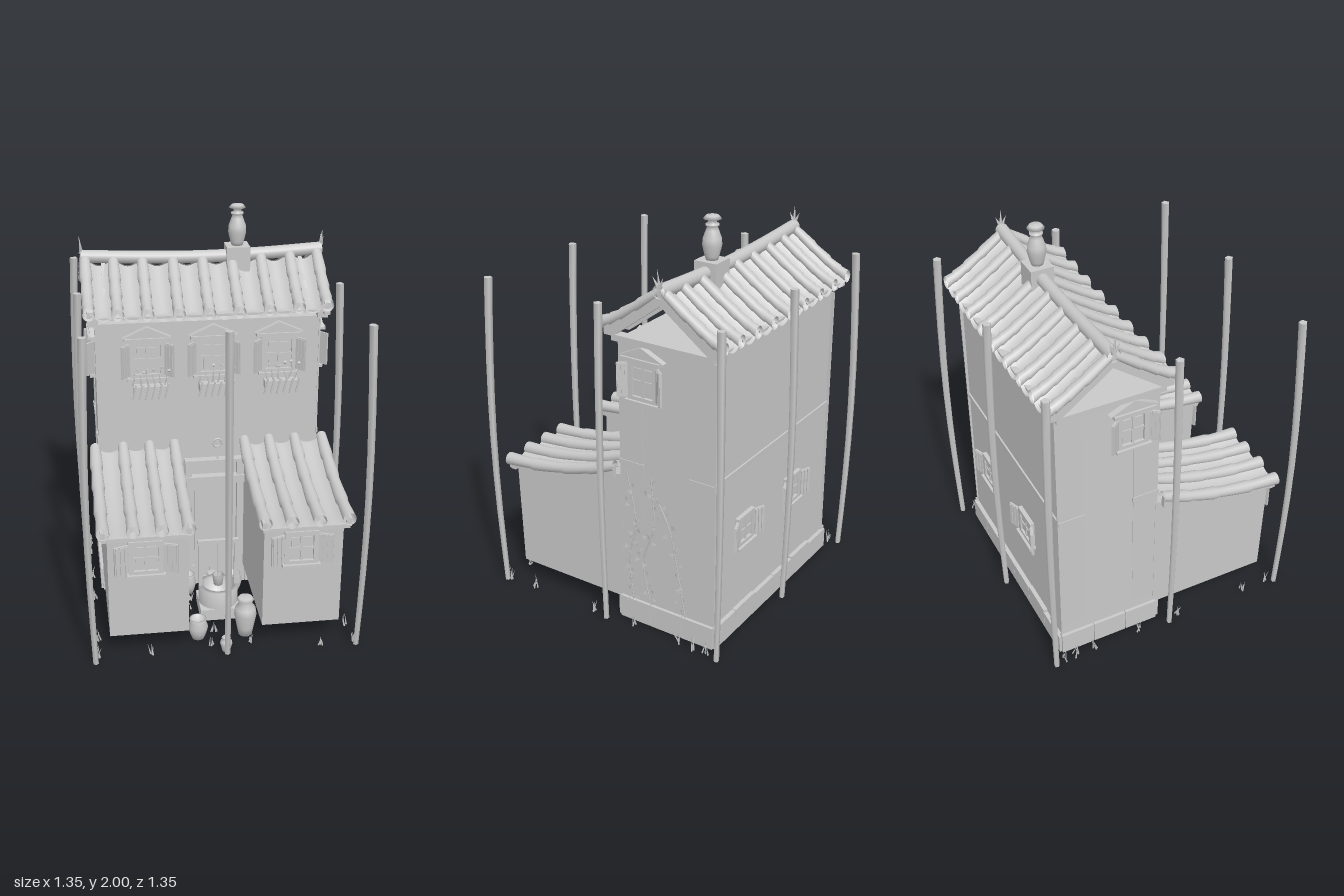
import * as THREE from 'three';
import { ParametricGeometry } from 'three/addons/geometries/ParametricGeometry.js';

const V = (x, y, z) => new THREE.Vector3(x, y, z);
const clay = new THREE.MeshStandardMaterial({ color: 0xc8c8c8, side: THREE.DoubleSide });
clay.name = 'plain grey';

export function createModel() {
  const model = new THREE.Group();
  let seed = 7;
  const rnd = () => (seed = (seed * 16807) % 2147483647) / 2147483647;

  function add(parent, name, geo, x = 0, y = 0, z = 0, rx = 0, ry = 0, rz = 0) {
    const m = new THREE.Mesh(geo, clay);
    m.name = name;
    m.position.set(x, y, z);
    m.rotation.set(rx, ry, rz);
    parent.add(m);
    return m;
  }
  const box = (p, name, w, h, d, x, y, z, rx, ry, rz) =>
    add(p, name, new THREE.BoxGeometry(w, h, d), x, y, z, rx, ry, rz);
  // Prism from a (z, y) side profile, w wide, centred on x
  function sideProfile(p, name, pts, w, x) {
    const shape = new THREE.Shape(pts.map(([z, y]) => new THREE.Vector2(-z, y)));
    const geo = new THREE.ExtrudeGeometry(shape, { depth: w, bevelEnabled: false });
    geo.translate(0, 0, -w / 2).rotateY(Math.PI / 2);
    return add(p, name, geo, x);
  }

  // Main house: body tapering slightly upward
  const bodyGeo = new THREE.BoxGeometry(1.13, 1.48, 0.525);
  const bp = bodyGeo.attributes.position;
  for (let i = 0; i < bp.count; i++)
    if (bp.getY(i) > 0) { bp.setX(i, bp.getX(i) * 0.985); bp.setZ(i, bp.getZ(i) * 0.96); }
  bodyGeo.computeVertexNormals();
  add(model, 'houseBody', bodyGeo, 0, 0.74, -0.307);

  // Stone plinth blocks
  for (let i = 0; i < 6; i++) {
    const x = -0.475 + i * 0.19, h = 0.105 + rnd() * 0.015;
    box(model, 'plinthBlock', 0.187, h, 0.03, x, h / 2, -0.575);
    box(model, 'plinthBlock', 0.187, h, 0.03, x, h / 2, -0.045);
  }
  for (const s of [-1, 1])
    for (let i = 0; i < 3; i++) box(model, 'plinthBlock', 0.03, 0.118, 0.174, s * 0.565, 0.059, -0.135 - i * 0.178);

  // Storey band and corner strips
  box(model, 'storeyBand', 1.14, 0.025, 0.012, 0, 0.86, -0.566);
  for (const s of [-1, 1]) {
    box(model, 'storeyBand', 0.012, 0.025, 0.13, s * 0.562, 0.86, -0.505);
    box(model, 'storeyBand', 0.012, 0.025, 0.14, s * 0.562, 0.86, -0.115);
    for (const z of [-0.51, -0.115]) box(model, 'cornerStrip', 0.008, 1.35, 0.13, s * 0.56, 0.79, z);
    box(model, 'tieBeam', 0.05, 0.03, 0.54, s * 0.57, 1.49, -0.305);
  }

  // Tiled slope: round cover tiles with sagging pans between them
  function tiledSlope(name, pts, xs, r, sag, lift) {
    const g = new THREE.Group();
    g.name = name;
    const curve = new THREE.CatmullRomCurve3(pts.map(([z, y]) => V(0, y, z)));
    const step = (t) => (t * 4 - 1e-6 - Math.floor(Math.max(0, t * 4 - 1e-6)));
    const rise = (x) => lift * x * x;
    for (const x of xs)
      add(g, 'coverTiles', new ParametricGeometry((u, v, o) => {
        const c = curve.getPoint(u), a = v * Math.PI * 2, k = r * (0.86 + 0.22 * Math.max(0, step(u)));
        o.set(x + k * Math.cos(a), c.y + rise(x) + k * Math.sin(a), c.z);
      }, 24, 14));
    for (let i = 0; i < xs.length - 1; i++)
      add(g, 'panTiles', new ParametricGeometry((u, v, o) => {
        const c = curve.getPoint(u), x = xs[i] + (xs[i + 1] - xs[i]) * v;
        o.set(x, c.y + rise(x) - sag * Math.sin(v * Math.PI) + 0.008 * Math.max(0, step(u)), c.z);
      }, 24, 10));
    model.add(g);
  }
  const mainXs = [-0.59, -0.45, -0.305, -0.152, -0.003, 0.145, 0.295, 0.442, 0.582];
  const slope = [[-0.295, 1.735], [-0.15, 1.632], [-0.05, 1.567], [0.015, 1.535]];
  const mirror = (pts) => pts.map(([z, y]) => [-0.61 - z, y]);
  tiledSlope('frontRoof', slope, mainXs, 0.029, 0.042, 0.05);
  tiledSlope('backRoof', mirror(slope), mainXs, 0.029, 0.042, 0.05);
  for (const z of [-0.035, -0.575]) box(model, 'eaveBoard', 1.18, 0.012, 0.07, 0, 1.522, z);

  // Ridge tube, dipping in the middle
  const ridge = new THREE.CatmullRomCurve3([V(-0.61, 1.758, -0.305), V(-0.3, 1.742, -0.305), V(0, 1.735, -0.305), V(0.3, 1.742, -0.305), V(0.61, 1.758, -0.305)]);
  add(model, 'ridge', new THREE.TubeGeometry(ridge, 24, 0.032, 14));

  // Open gables: barge boards and inner rafters
  for (const s of [-1, 1]) {
    sideProfile(model, 'bargeBoard', [[-0.305, 1.765], [0, 1.56], [0, 1.5], [-0.05, 1.5], [-0.305, 1.69],
      [-0.56, 1.5], [-0.61, 1.5], [-0.61, 1.56]], 0.03, s * 0.585);
    sideProfile(model, 'rafterPair', [[-0.305, 1.72], [-0.04, 1.53], [-0.04, 1.505], [-0.075, 1.505], [-0.305, 1.672],
      [-0.535, 1.505], [-0.57, 1.505], [-0.57, 1.53]], 0.02, s * 0.5);
    // Spiky leaf finials at the ridge ends
    for (const [h, tilt, dz] of [[0.09, 0.05, 0], [0.06, 0.5, 0.015], [0.06, -0.4, -0.015]])
      add(model, 'ridgeFinial', new THREE.ConeGeometry(0.011, h, 4), s * 0.61, 1.77 + h / 2, -0.305 + dz, tilt, 0, -s * 0.1);
  }

  // Turned pieces
  const lathe = (name, pts, x, y, z) =>
    add(model, name, new THREE.LatheGeometry(pts.map(([r, h]) => new THREE.Vector2(r, h)), 20), x, y, z);
  box(model, 'chimneyBase', 0.118, 0.13, 0.118, 0.177, 1.725, -0.305);
  lathe('chimneyPot', [[0, 0], [0.028, 0], [0.034, 0.02], [0.046, 0.07], [0.044, 0.1], [0.03, 0.14], [0.024, 0.155],
    [0.032, 0.16], [0.032, 0.168], [0.02, 0.17], [0.02, 0.19], [0.042, 0.192], [0.03, 0.207], [0, 0.212]], 0.177, 1.788, -0.305);

  // Window facing +z, with frame, glazing bars, shutters and optional pediment and flower tray
  function windowUnit(x, y, z, ry, w, h, sw, swing, upper) {
    const g = new THREE.Group();
    g.name = 'window';
    g.position.set(x, y, z);
    g.rotation.y = ry;
    box(g, 'pane', w - 0.02, h - 0.02, 0.008, 0, 0, 0.002);
    for (const s of [-1, 1]) {
      box(g, 'frameSide', 0.024, h, 0.022, s * (w / 2 - 0.012), 0, 0.01);
      box(g, 'frameRail', w, 0.024, 0.022, 0, s * (h / 2 - 0.012), 0.01);
      const hinge = new THREE.Group();
      hinge.name = 'shutter';
      hinge.position.set(s * w / 2, 0, 0.014);
      hinge.rotation.y = -s * swing;
      box(hinge, 'shutterPanel', sw, h * 0.84, 0.01, s * sw / 2, 0, 0);
      for (let i = 0; i < 3; i++) box(hinge, 'shutterSlat', sw * 0.22, h * 0.8, 0.006, s * sw * (0.18 + i * 0.32), 0, 0.007);
      g.add(hinge);
    }
    box(g, 'innerFrame', 0.1, h * 0.62, 0.014, 0, 0, 0.005);
    box(g, 'mullion', 0.012, h * 0.8, 0.014, 0, 0, 0.01);
    box(g, 'transom', w * 0.8, 0.012, 0.014, 0, 0, 0.01);
    box(g, 'sill', w + 0.02, 0.014, 0.04, 0, -h / 2, 0.015);
    if (upper) {
      box(g, 'header', w + 0.05, 0.018, 0.045, 0, h / 2 + 0.008, 0.018);
      const tri = new THREE.Shape([new THREE.Vector2(-0.12, 0), new THREE.Vector2(0.12, 0), new THREE.Vector2(0, 0.055)]);
      add(g, 'pediment', new THREE.ExtrudeGeometry(tri, { depth: 0.03, bevelEnabled: false }), 0, h / 2 + 0.017, 0);
    }
    model.add(g);
    return g;
  }
  for (const x of [-0.31, 0.02, 0.35]) {
    const g = windowUnit(x, 1.295, -0.05, 0, 0.18, 0.2, 0.06, 0.85, true);
    box(g, 'flowerTray', 0.17, 0.04, 0.05, 0.01, -0.145, 0.045);
    for (let i = 0; i < 6; i++) {
      box(g, 'trayStake', 0.008, 0.085, 0.006, -0.07 + i * 0.032, -0.15, 0.075, 0.1, 0, -0.2);
      add(g, 'trayPlant', new THREE.ConeGeometry(0.005, 0.08, 4), -0.07 + i * 0.032, -0.09, 0.045, 0, 0, rnd() - 0.5);
      add(g, 'trayLeaf', new THREE.OctahedronGeometry(0.011, 0), -0.07 + i * 0.032 + rnd() * 0.02, -0.06 + rnd() * 0.03, 0.045, rnd(), rnd());
    }
  }
  for (const s of [-1, 1]) windowUnit(s * 0.557, 1.295, -0.19, s * Math.PI / 2, 0.16, 0.2, 0.055, 0.7, true);
  for (const x of [0.29, -0.18]) windowUnit(x, 0.53, -0.567, Math.PI, 0.15, 0.16, 0.065, 0.35, false);
  windowUnit(-0.385, 0.54, 0.588, 0, 0.165, 0.18, 0.072, 0.35, false);
  windowUnit(0.36, 0.54, 0.588, 0, 0.165, 0.18, 0.072, 0.35, false);

  // Side wings with their lean-to roofs
  for (const s of [-1, 1]) {
    sideProfile(model, 'wing', [[-0.06, 0.105], [0.575, 0.105], [0.59, 0.66], [0.4, 0.68], [0.2, 0.715], [-0.06, 0.79]], 0.385, s * 0.373);
    tiledSlope('wingRoof', [[-0.03, 0.835], [0.1, 0.785], [0.25, 0.742], [0.45, 0.705], [0.625, 0.69]],
      [0.18, 0.308, 0.442, 0.584].map((x) => x * s).sort((a, b) => a - b), 0.03, 0.032, 0);
    for (const x of [0.18, 0.585])
      sideProfile(model, 'wingRoofBoard', [[-0.03, 0.77], [0.25, 0.69], [0.45, 0.665], [0.615, 0.648], [0.615, 0.69], [0.45, 0.705], [0.25, 0.745], [-0.03, 0.835]], 0.025, s * x);
    box(model, 'wingEaveBeam', 0.42, 0.02, 0.03, s * 0.38, 0.648, 0.6);
  }

  // Doorway with lantern hook
  box(model, 'door', 0.22, 0.52, 0.02, 0.03, 0.36, -0.04);
  for (const x of [-0.11, 0.16]) box(model, 'doorPost', 0.035, 0.63, 0.04, x, 0.415, -0.035);
  for (const x of [-0.04, 0.1]) box(model, 'doorBatten', 0.01, 0.5, 0.01, x, 0.36, -0.028);
  box(model, 'doorLintel', 0.31, 0.04, 0.05, 0.025, 0.625, -0.03);
  box(model, 'doorCornice', 0.31, 0.014, 0.05, 0.025, 0.732, -0.03);
  add(model, 'lanternRing', new THREE.TorusGeometry(0.022, 0.005, 6, 16), 0.04, 0.83, -0.02);
  box(model, 'lanternHook', 0.01, 0.09, 0.01, 0.04, 0.77, -0.02);

  // Courtyard well
  box(model, 'wellBase', 0.2, 0.06, 0.2, 0, 0.07, 0.3);
  lathe('wellWall', [[0.1, 0], [0.1, 0.09], [0.075, 0.09], [0.075, 0.01], [0, 0.01]], 0, 0.1, 0.3);
  for (const s of [-1, 1]) box(model, 'wellPost', 0.018, 0.34, 0.018, s * 0.09, 0.27, 0.3);
  box(model, 'wellBeam', 0.205, 0.022, 0.02, 0, 0.435, 0.3);
  add(model, 'wellRope', new THREE.CylinderGeometry(0.003, 0.003, 0.2, 6), 0, 0.335, 0.3);
  lathe('wellBucket', [[0, 0], [0.022, 0], [0.03, 0.055], [0.025, 0.055], [0.02, 0.01]], 0, 0.19, 0.3);

  // Pots and jars
  const pot = [[0, 0], [0.6, 0], [0.85, 0.3], [1, 0.6], [0.8, 0.85], [0.85, 1], [0.7, 1], [0.6, 0.85], [0, 0.8]];
  const jar = [[0, 0], [0.6, 0], [0.75, 0.2], [1, 0.55], [0.9, 0.72], [0.55, 0.84], [0.75, 0.94], [0.6, 1], [0, 1]];
  for (const [p, x, z, r, h] of [[pot, -0.125, 0.48, 0.05, 0.11], [jar, 0.113, 0.475, 0.056, 0.21], [pot, -0.125, 0.05, 0.042, 0.11],
    [jar, 0, 0.08, 0.042, 0.13], [pot, 0.12, 0.05, 0.042, 0.1], [jar, -0.003, 0.615, 0.03, 0.08]])
    lathe('pot', p.map(([a, b]) => [a * r, b * h]), x, 0, z);
  for (const s of [-1, 1]) add(model, 'jarHandle', new THREE.TorusGeometry(0.018, 0.004, 6, 12), s * 0.037, 0.095, 0.08);

  // Ring of slightly bowed poles
  for (const sx of [-1, 0, 1]) for (const sz of [-1, 0, 1]) {
    if (!sx && !sz) continue;
    const geo = new THREE.CylinderGeometry(0.021, 0.014, 1.66, 5, 8);
    const p = geo.attributes.position;
    for (let i = 0; i < p.count; i++) {
      const bow = 0.018 * Math.sin((p.getY(i) / 1.66 + 0.5) * Math.PI);
      p.setX(i, p.getX(i) + sx * bow);
      p.setZ(i, p.getZ(i) + sz * bow);
    }
    geo.computeVertexNormals();
    add(model, 'pole', geo, sx * 0.64, 0.83, sz * 0.64);
  }

  // Grass tufts
  const tuft = (x, y, z, h) => {
    for (let i = 0; i < 4; i++) {
      const k = h * (0.6 + rnd() * 0.4);
      add(model, 'grassBlade', new THREE.ConeGeometry(0.005, k, 3), x + (rnd() - 0.5) * 0.02, y + k / 2, z + (rnd() - 0.5) * 0.02,
        (rnd() - 0.5) * 0.7, 0, (rnd() - 0.5) * 0.7);
    }
  };
  for (const z of [-0.59, -0.52, -0.43, -0.17, 0.06, 0.45, 0.6]) { tuft(-0.625, 0, z, 0.08); tuft(0.625, 0, z + 0.02, 0.08); }
  for (const [x, z] of [[-0.12, 0.14], [0.01, 0.15], [-0.14, 0.21], [-0.04, 0.44], [0.13, 0.375], [-0.07, 0.56], [0.13, 0.56], [0.47, 0.63], [-0.37, 0.6]])
    tuft(x, 0, z, 0.06);

  // Ivy climbing the left wall
  for (const path of [[[-0.12, 0.12], [-0.1, 0.35], [-0.14, 0.55], [-0.09, 0.82]], [[-0.22, 0.12], [-0.18, 0.35], [-0.24, 0.55], [-0.23, 0.82]],
    [[-0.42, 0.12], [-0.37, 0.4], [-0.33, 0.58], [-0.26, 0.72]]]) {
    const c = new THREE.CatmullRomCurve3(path.map(([z, y]) => V(0.57, y, z)));
    add(model, 'ivyStem', new THREE.TubeGeometry(c, 20, 0.004, 5));
    for (let i = 0; i < 26; i++) {
      const q = c.getPoint(i / 25);
      add(model, 'ivyLeaf', new THREE.CircleGeometry(0.011 + rnd() * 0.006, 3), q.x + 0.01, q.y + (rnd() - 0.5) * 0.03,
        q.z + (rnd() - 0.5) * 0.07, 0, Math.PI / 2 + (rnd() - 0.5), rnd() * 6);
    }
  }
  return model;
}
